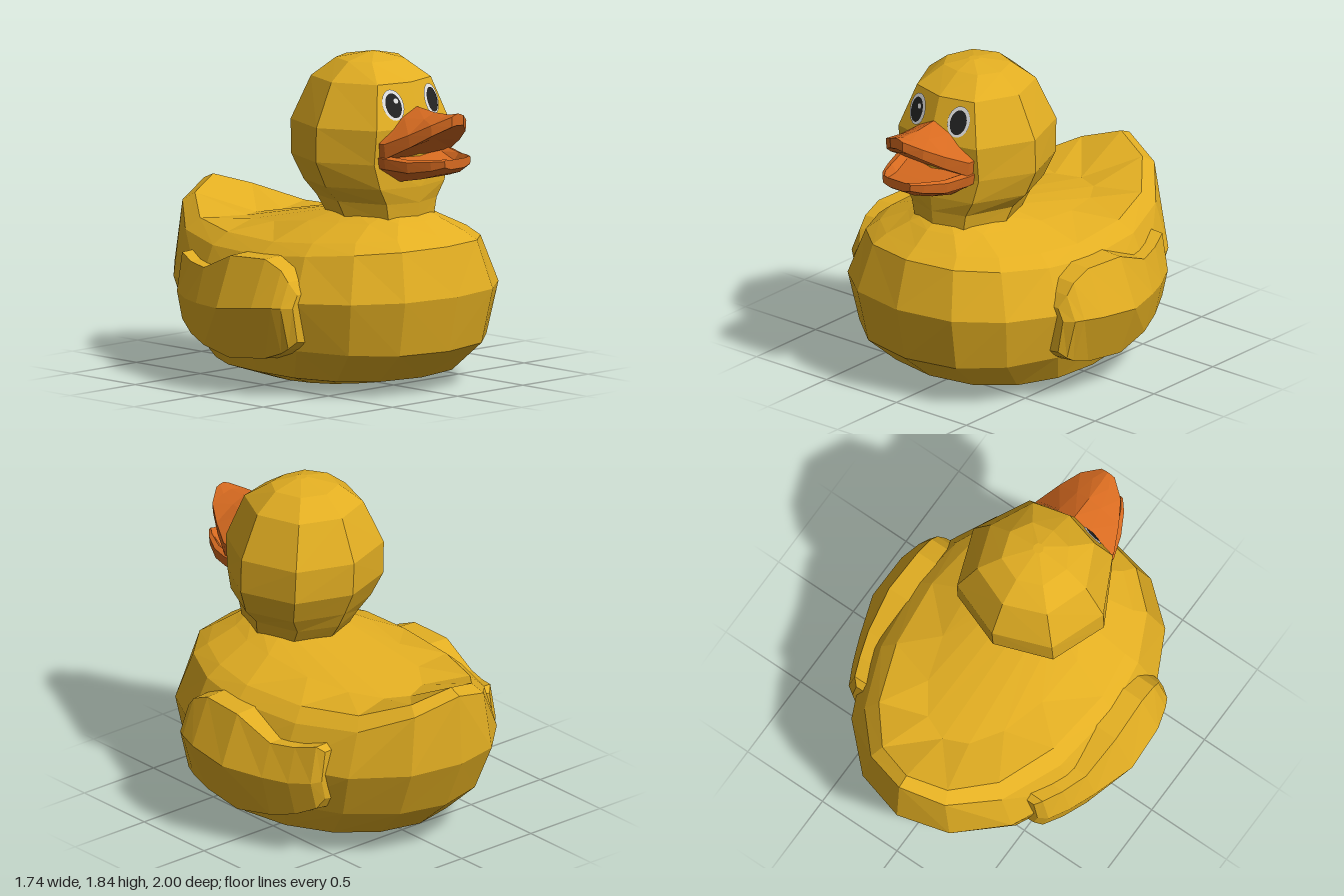
import * as THREE from 'three';

const yellow = new THREE.MeshStandardMaterial({ color: 0xe2ae22 });
const orange = new THREE.MeshStandardMaterial({ color: 0xd66a20 });
const white = new THREE.MeshStandardMaterial({ color: 0xe2e2e2 });
const black = new THREE.MeshStandardMaterial({ color: 0x222222 });
yellow.name = 'duck yellow';
orange.name = 'bill orange';
white.name = 'eye white';
black.name = 'pupil black';

// Faceted closed surface through a series of rings of [x, y, z], capped at both ends
function loft(name, rings, material) {
  const n = rings[0].length;
  const tris = [];
  for (let j = 0; j < rings.length - 1; j++) {
    for (let i = 0; i < n; i++) {
      const k = (i + 1) % n;
      const a = rings[j][i], b = rings[j][k], c = rings[j + 1][k], d = rings[j + 1][i];
      // Mirror the diagonals between the two halves
      if (i < n / 2) tris.push([a, b, c], [a, c, d]);
      else tris.push([a, b, d], [b, c, d]);
    }
  }
  const cap = (ring, flip) => {
    const mid = [0, 1, 2].map(q => ring.reduce((s, p) => s + p[q], 0) / n);
    ring.forEach((p, i) => {
      const r = ring[(i + 1) % n];
      tris.push(flip ? [mid, r, p] : [mid, p, r]);
    });
  };
  cap(rings[0], true);
  cap(rings[rings.length - 1], false);
  // Turn the faces outward whatever the ring direction
  let volume = 0;
  const o = rings[0][0];
  for (const t of tris) {
    const [a, b, c] = t.map(p => new THREE.Vector3(p[0] - o[0], p[1] - o[1], p[2] - o[2]));
    volume += a.dot(b.cross(c));
  }
  if (volume < 0) tris.forEach(t => t.reverse());
  const geometry = new THREE.BufferGeometry();
  geometry.setAttribute('position', new THREE.Float32BufferAttribute(tris.flat(2), 3));
  geometry.computeVertexNormals();
  const mesh = new THREE.Mesh(geometry, material);
  mesh.name = name;
  return mesh;
}

// Half outline from top to bottom, mirrored into a full ring
const mirrored = half => [
  ...half,
  ...half.slice(1, -1).reverse().map(([x, y, z]) => [-x, y, z]),
];

// Body: horizontal rings whose back rises into the tail
function makeBody() {
  // half width, front z, back z, middle z, front y, side y, back y, sharpness of the rise
  const levels = [
    [0.34, 0.39, -0.33, 0.03, 0.01, 0.01, 0.0, 2],
    [0.63, 0.72, -0.65, 0.08, 0.07, 0.10, 0.09, 2],
    [0.71, 0.93, -0.87, 0.10, 0.24, 0.27, 0.28, 2],
    [0.76, 1.00, -1.00, 0.12, 0.55, 0.52, 0.57, 6],
    [0.65, 0.92, -0.98, 0.12, 0.82, 0.75, 0.97, 6],
    [0.57, 0.84, -0.91, 0.14, 0.87, 0.82, 1.00, 6],
    [0.36, 0.74, -0.57, 0.20, 0.94, 0.92, 0.83, 0.8],
    [0.26, 0.69, 0.10, 0.36, 0.965, 0.965, 0.965, 1],
  ];
  const n = 16;
  const rings = levels.map(([w, zf, zb, zm, yf, ys, yb, rise]) => {
    const ring = [];
    for (let i = 0; i < n; i++) {
      const a = i / n * Math.PI * 2;
      const s = Math.sin(a), c = Math.cos(a);
      // The breast is fuller than the stern
      const x = w * Math.sign(s) * Math.pow(Math.abs(s), c > 0 ? 0.85 : 1);
      const z = zm + (c > 0 ? zf - zm : zm - zb) * c;
      const y = c > 0 ? ys + (yf - ys) * c : ys + (yb - ys) * Math.pow(-c, rise);
      ring.push([x, y, z]);
    }
    return ring;
  });
  return loft('body', rings, yellow);
}

// Head and neck: eight-sided rings with a flattened face
function makeHead() {
  const plan = [[0, 1], [0.64, 0.82], [1, 0], [0.73, -0.73], [0, -1],
    [-0.73, -0.73], [-1, 0], [-0.64, 0.82]];
  // y, half width, front z, back z, middle z
  const levels = [
    [0.94, 0.27, 0.69, 0.10, 0.40],
    [1.04, 0.30, 0.70, 0.03, 0.37],
    [1.13, 0.385, 0.71, -0.02, 0.36],
    [1.27, 0.44, 0.70, -0.09, 0.34],
    [1.46, 0.435, 0.72, -0.10, 0.34],
    [1.70, 0.32, 0.635, 0.0, 0.34],
    [1.80, 0.19, 0.48, 0.13, 0.34],
    [1.835, 0.03, 0.37, 0.31, 0.34],
  ];
  const rings = levels.map(([y, w, zf, zb, zm]) => plan.map(([px, pz]) =>
    [px * w, y, zm + pz * (pz > 0 ? zf - zm : zm - zb)]));
  return loft('head', rings, yellow);
}

// Wing: slab with a ridge along its middle, swept from front to back
function makeWing(side) {
  // z, top y, ridge y, bottom y, ridge x, rim x, inner x
  const stations = [
    [0.47, 0.59, 0.51, 0.30, 0.745, 0.71, 0.56],
    [0.43, 0.66, 0.51, 0.26, 0.80, 0.74, 0.55],
    [0.38, 0.72, 0.51, 0.23, 0.825, 0.745, 0.55],
    [0.26, 0.77, 0.50, 0.19, 0.86, 0.75, 0.55],
    [0.0, 0.76, 0.47, 0.16, 0.87, 0.76, 0.55],
    [-0.24, 0.66, 0.46, 0.20, 0.79, 0.73, 0.52],
    [-0.39, 0.67, 0.46, 0.24, 0.73, 0.68, 0.47],
    [-0.51, 0.70, 0.48, 0.30, 0.67, 0.63, 0.43],
    [-0.545, 0.67, 0.49, 0.36, 0.62, 0.595, 0.42],
  ];
  const rings = stations.map(([z, t, m, b, xm, xr, xi]) => [
    [xi, t, z], [xr, t - 0.01, z], [xm, m, z], [xr, b + 0.02, z], [xi, b, z],
  ].map(([x, y, q]) => [side * x, y, q]));
  return loft(side > 0 ? 'leftWing' : 'rightWing', rings, yellow);
}

// Open bill in two halves
function makeBill() {
  const bill = new THREE.Group();
  bill.name = 'bill';
  // z, half width, crown y, edge top y, edge bottom y, palate y
  const upper = [
    [0.62, 0.26, 1.57, 1.39, 1.30, 1.27],
    [0.69, 0.26, 1.57, 1.39, 1.31, 1.30],
    [0.82, 0.20, 1.555, 1.45, 1.38, 1.41],
    [0.93, 0.135, 1.555, 1.51, 1.45, 1.47],
    [1.0, 0.045, 1.57, 1.555, 1.50, 1.505],
  ].map(([z, w, t, e, b, p]) => mirrored([
    [0, t, z], [w * 0.4, t - (t - e) * 0.28, z], [w, e, z], [w * 0.96, b, z], [0, p, z],
  ]));
  // z, half width, edge top y, trough y, edge bottom y, chin y
  const lower = [
    [0.62, 0.26, 1.32, 1.31, 1.25, 1.17],
    [0.69, 0.26, 1.32, 1.30, 1.25, 1.17],
    [0.82, 0.215, 1.31, 1.27, 1.24, 1.195],
    [0.94, 0.15, 1.32, 1.29, 1.26, 1.23],
    [1.0, 0.10, 1.325, 1.318, 1.28, 1.265],
  ].map(([z, w, e, t, b, c]) => mirrored([
    [0, t, z], [w * 0.7, t, z], [w * 0.86, e, z], [w, e - 0.01, z],
    [w * 0.96, b, z], [w * 0.5, c, z], [0, c, z],
  ]));
  bill.add(loft('upperBill', upper, orange), loft('lowerBill', lower, orange));
  return bill;
}

// Thin oval laid on the sloping face
function faceOval(name, x, y, rx, ry, lift, material) {
  const geometry = new THREE.CircleGeometry(1, 20).scale(rx, ry, 1).translate(x, y, 0);
  const p = geometry.attributes.position;
  for (let i = 0; i < p.count; i++) {
    p.setZ(i, 0.72 - 0.245 * Math.abs(p.getX(i)) - 0.354 * (p.getY(i) - 1.46) + lift);
  }
  geometry.computeVertexNormals();
  const mesh = new THREE.Mesh(geometry, material);
  mesh.name = name;
  return mesh;
}

export function createModel() {
  const duck = new THREE.Group();
  duck.name = 'duck';
  duck.add(makeBody(), makeHead(), makeBill());
  for (const side of [1, -1]) {
    duck.add(makeWing(side));
    const eye = new THREE.Group();
    eye.name = side > 0 ? 'leftEye' : 'rightEye';
    eye.add(
      faceOval('eyeWhite', side * 0.146, 1.59, 0.065, 0.083, 0.007, white),
      faceOval('pupil', side * 0.148, 1.588, 0.048, 0.066, 0.012, black),
    );
    if (side < 0) eye.add(faceOval('glint', -0.13, 1.612, 0.014, 0.014, 0.016, white));
    duck.add(eye);
  }
  return duck;
}
